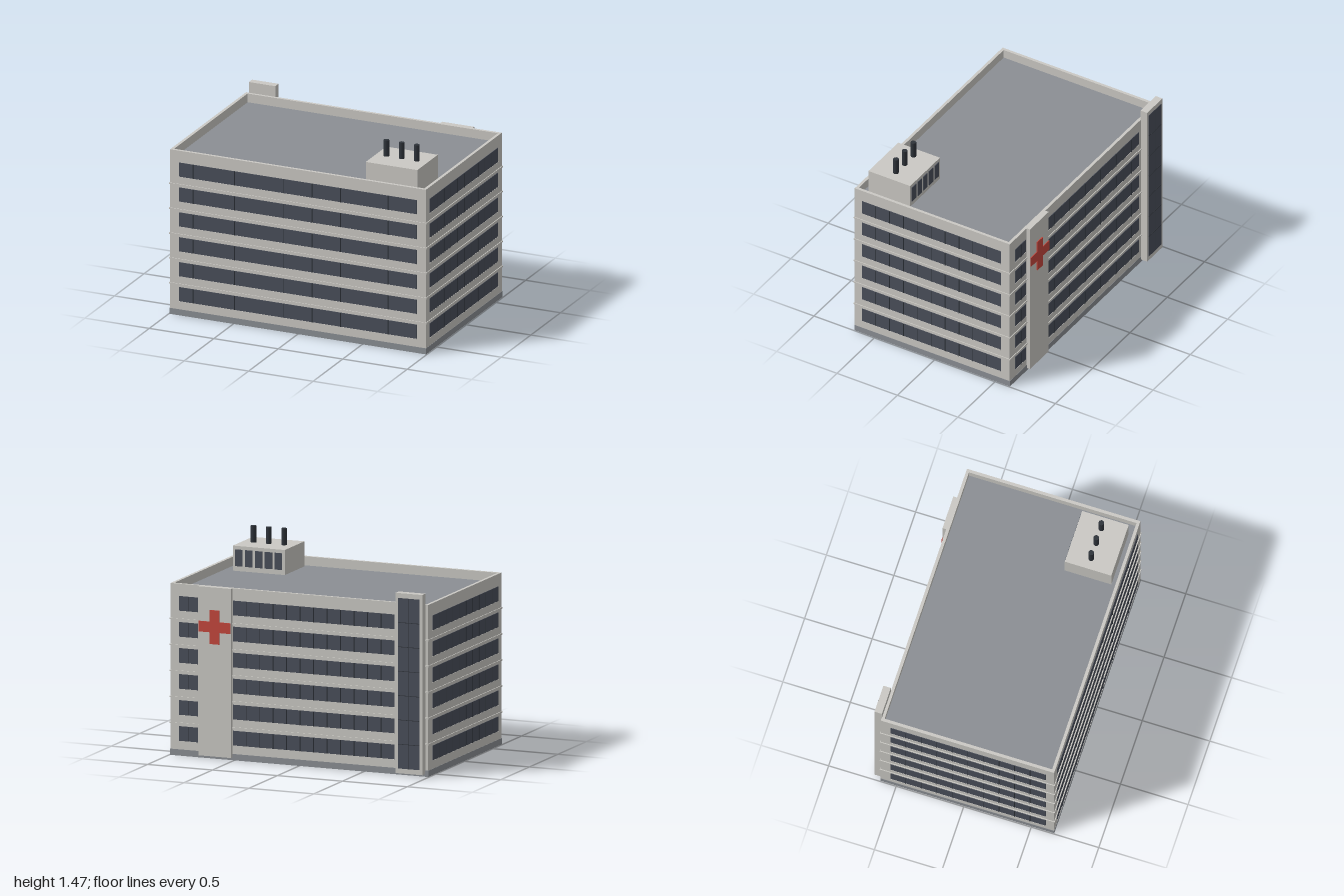
import * as THREE from 'three';

export function createModel() {
  const model = new THREE.Group();
  model.name = 'hospital';
  const mat = (name, color) => {
    const m = new THREE.MeshStandardMaterial({ color });
    m.name = name;
    return m;
  };
  const wall = mat('pale concrete', 0xcbc9c4);
  const grey = mat('roof grey', 0x8b8f94);
  const glass = mat('window glass', 0x4a4f5a);
  const dark = mat('dark metal', 0x2f343b);
  const red = mat('red', 0xc4473d);

  // Box given by its minimum and maximum along each axis
  const box = (name, m, x0, x1, y0, y1, z0, z1, parent = model) => {
    const mesh = new THREE.Mesh(new THREE.BoxGeometry(x1 - x0, y1 - y0, z1 - z0), m);
    mesh.position.set((x0 + x1) / 2, (y0 + y1) / 2, (z0 + z1) / 2);
    mesh.name = name;
    parent.add(mesh);
    return mesh;
  };

  const W = 0.992, ZB = -0.617, ZF = 0.667, TOP = 1.235, ROOF = 1.17, T = 0.022;
  const BASE = 0.045, STOREY = 0.187;

  // Plinth, body, roof deck and parapet
  box('plinth', grey, -W - 0.002, W + 0.002, 0, BASE, ZB - 0.002, ZF + 0.002);
  box('body', wall, -W, W, BASE, ROOF - 0.01, ZB, ZF);
  box('roofDeck', grey, -W + T, W - T, ROOF - 0.01, ROOF, ZB + T, ZF - T);
  for (const s of [-1, 1]) {
    const x = s * (W - T / 2);
    box('parapetSide', wall, x - T / 2, x + T / 2, ROOF - 0.01, TOP, ZB, ZF);
  }
  box('parapetFront', wall, -W + T, W - T, ROOF - 0.01, TOP, ZF - T, ZF);
  box('parapetBack', wall, -W + T, W - T, ROOF - 0.01, TOP, ZB, ZB + T);

  // Ledges at the storey lines
  for (let k = 1; k < 6; k++) {
    const y = BASE + k * STOREY;
    box('storeyLedge', wall, -W - 0.006, W + 0.006, y - 0.004, y + 0.006, ZB - 0.006, ZF + 0.006);
  }

  // Window band in a local frame facing +z, with dividers at the given fractions
  const windowBand = (width, fractions) => {
    const band = new THREE.Group();
    band.name = 'windowBand';
    const h = width / 2;
    box('glassStrip', glass, -h, h, 0, 0.105, -0.002, 0.004, band);
    box('sill', wall, -h, h, -0.006, 0, -0.002, 0.006, band);
    for (const f of fractions) {
      const x = -h + f * width;
      box('mullion', dark, x - 0.002, x + 0.002, 0, 0.105, 0, 0.008, band);
    }
    return band;
  };
  const even = (n) => Array.from({ length: n - 1 }, (_, i) => (i + 1) / n);
  const frontDividers = [0.06, 0.235, 0.44, 0.56, 0.68, 0.88];

  // Facades: width, dividers, centre x, centre z, turn
  const facades = [
    [1.845, frontDividers, 0, ZF, 0],
    [1.15, even(10), W, 0.03, Math.PI / 2],
    [1.15, even(10), -W, 0.03, -Math.PI / 2],
    [1.245, even(12), -0.112, ZB, Math.PI],
    [0.145, even(2), 0.852, ZB, Math.PI],
  ];
  for (let k = 0; k < 6; k++) {
    for (const [w, dividers, x, z, turn] of facades) {
      const band = windowBand(w, dividers);
      band.position.set(x, 0.107 + k * STOREY, z);
      band.rotation.y = turn;
      model.add(band);
    }
  }

  // Rear pier carrying the red cross
  box('crossPier', wall, 0.515, 0.765, 0.02, TOP, -0.645, ZB + 0.01);
  const cross = new THREE.Shape();
  const a = 0.038, b = 0.122;
  [[-a, -b], [a, -b], [a, -a], [b, -a], [b, a], [a, a], [a, b], [-a, b], [-a, a], [-b, a], [-b, -a], [-a, -a]]
    .forEach(([x, y], i) => (i ? cross.lineTo(x, y) : cross.moveTo(x, y)));
  const crossMesh = new THREE.Mesh(new THREE.ExtrudeGeometry(cross, { depth: 0.008, bevelEnabled: false }), red);
  crossMesh.name = 'cross';
  crossMesh.position.set(0.64, 0.95, -0.652);
  model.add(crossMesh);

  // Rear stair tower with its tall glazing
  box('stairTower', wall, -0.97, -0.765, 0.02, 1.315, -0.67, ZB + 0.002);
  box('stairGlass', glass, -0.95, -0.785, 0.055, 1.28, -0.673, -0.668);
  box('stairMullion', dark, -0.87, -0.866, 0.055, 1.28, -0.675, -0.67);
  for (let k = 1; k < 7; k++) {
    const y = 0.055 + k * 0.175;
    box('stairTransom', dark, -0.95, -0.785, y - 0.002, y + 0.002, -0.675, -0.67);
  }

  // Rooftop plant room, its rear windows and chimneys
  box('plantRoom', wall, 0.5, 0.9, ROOF, 1.35, 0.265, 0.61);
  for (let i = 0; i < 5; i++) {
    const x = 0.548 + i * 0.076;
    box('plantRoomWindow', glass, x - 0.028, x + 0.028, 1.205, 1.325, 0.26, 0.266);
  }
  for (const x of [0.58, 0.698, 0.815]) {
    const chimney = new THREE.Mesh(new THREE.CylinderGeometry(0.02, 0.02, 0.13, 10), dark);
    chimney.name = 'chimney';
    chimney.position.set(x, 1.405, 0.435);
    model.add(chimney);
  }
  return model;
}
